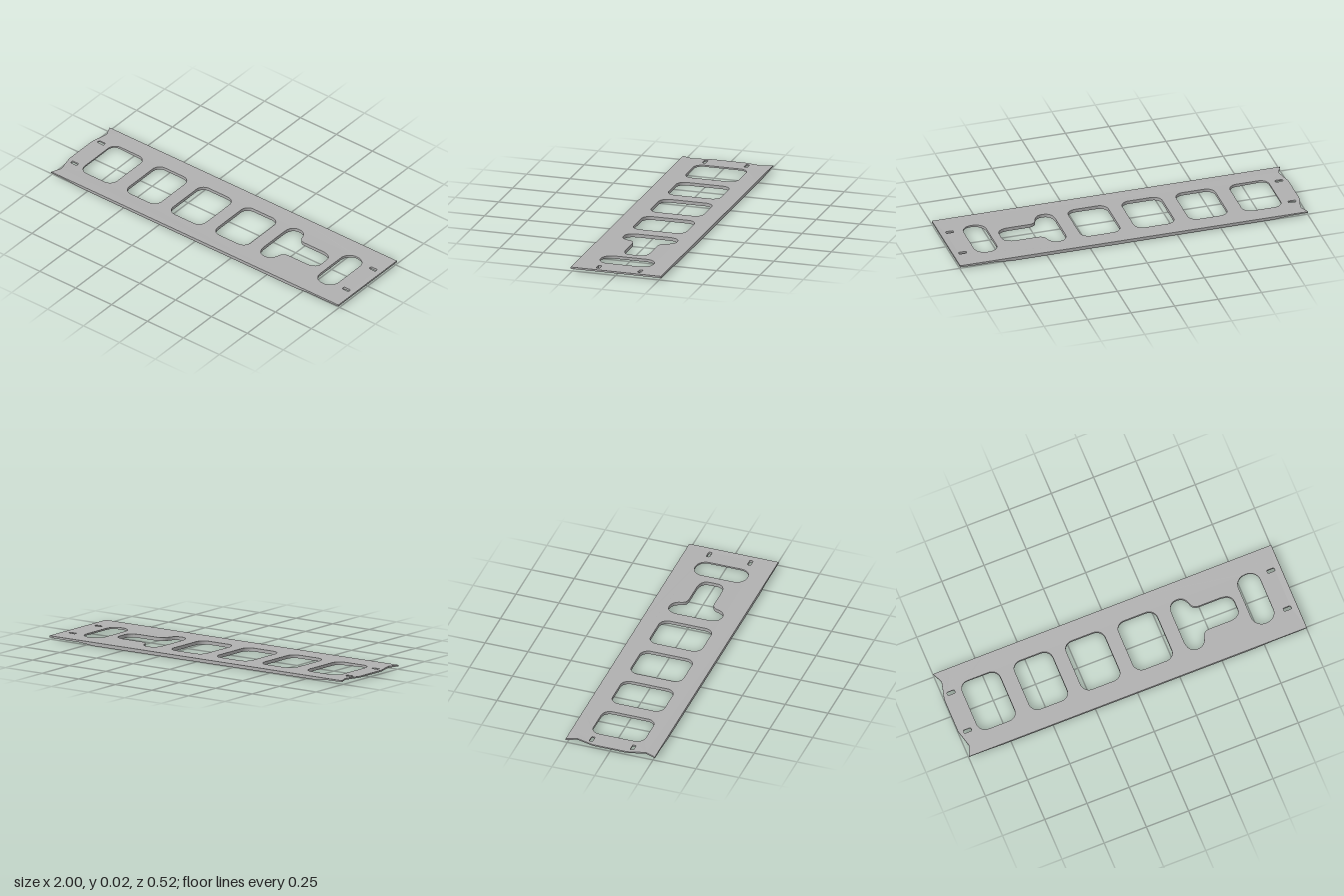
import * as THREE from 'three';

// Closed hole with rounded corners, given as x range, z range and corner radius
function roundedHole(x0, x1, z0, z1, r) {
  const p = new THREE.Path();
  p.moveTo(x0 + r, z0);
  p.lineTo(x1 - r, z0);
  p.absarc(x1 - r, z0 + r, r, -Math.PI / 2, 0, false);
  p.lineTo(x1, z1 - r);
  p.absarc(x1 - r, z1 - r, r, 0, Math.PI / 2, false);
  p.lineTo(x0 + r, z1);
  p.absarc(x0 + r, z1 - r, r, Math.PI / 2, Math.PI, false);
  p.lineTo(x0, z0 + r);
  p.absarc(x0 + r, z0 + r, r, Math.PI, Math.PI * 1.5, false);
  return p;
}

// Narrow opening joined to a tongue-shaped slot
function keyholeOpening() {
  const p = new THREE.Path();
  p.moveTo(0.345, -0.1);
  p.quadraticCurveTo(0.35, -0.16, 0.4, -0.16);
  p.quadraticCurveTo(0.445, -0.16, 0.457, -0.11);
  p.quadraticCurveTo(0.465, -0.08, 0.5, -0.08);
  p.lineTo(0.63, -0.08);
  p.quadraticCurveTo(0.69, -0.075, 0.69, -0.03);
  p.lineTo(0.69, 0.015);
  p.quadraticCurveTo(0.69, 0.06, 0.63, 0.065);
  p.lineTo(0.5, 0.065);
  p.quadraticCurveTo(0.465, 0.068, 0.457, 0.1);
  p.quadraticCurveTo(0.445, 0.15, 0.4, 0.15);
  p.quadraticCurveTo(0.35, 0.15, 0.345, 0.09);
  p.closePath();
  return p;
}

// Underside height along the length: thin ends, deeper middle
const underside = [
  [-1, 0.014], [-0.88, 0.013], [-0.8, 0.005], [-0.1, 0.003], [0, 0.003],
  [0.1, 0.002], [0.2, 0.003], [0.7, 0.002], [0.78, 0.01], [0.86, 0.014],
  [0.94, 0.006], [1, 0.012],
];
function bottomAt(x) {
  for (let i = 1; i < underside.length; i++) {
    const [xa, ya] = underside[i - 1], [xb, yb] = underside[i];
    if (x <= xb) return THREE.MathUtils.lerp(ya, yb, Math.max(0, (x - xa) / (xb - xa)));
  }
  return 0.012;
}

export function createModel() {
  const group = new THREE.Group();
  group.name = 'perforatedPlate';
  const metal = new THREE.MeshStandardMaterial({ color: 0xb0b0b0 });
  metal.name = 'grey metal';

  // Outline: long straight rails, two shallow notches in the left end
  const pts = [];
  const steps = 20;
  for (let i = 0; i <= steps; i++) pts.push(new THREE.Vector2(-1 + (2 * i) / steps, -0.26));
  for (let i = 0; i <= steps; i++) pts.push(new THREE.Vector2(1 - (2 * i) / steps, 0.26));
  [[-0.975, 0.2], [-1, 0.1], [-1, -0.1], [-0.975, -0.2]]
    .forEach(([x, z]) => pts.push(new THREE.Vector2(x, z)));
  const shape = new THREE.Shape(pts);

  // Four large windows, the keyhole and the end window
  [[-0.89, -0.665], [-0.58, -0.355], [-0.275, -0.045], [0.035, 0.265]]
    .forEach(([a, b]) => shape.holes.push(roundedHole(a, b, -0.155, 0.15, 0.05)));
  shape.holes.push(keyholeOpening());
  shape.holes.push(roundedHole(0.74, 0.87, -0.155, 0.15, 0.06));

  // Small fixing slots at both ends
  for (const x of [-0.95, 0.943])
    for (const z of [-0.123, 0.116])
      shape.holes.push(roundedHole(x - 0.022, x + 0.022, z - 0.01, z + 0.01, 0.006));

  // Lay the plate flat, then shape its upper and lower faces
  const geo = new THREE.ExtrudeGeometry(shape, { depth: 1, bevelEnabled: false, curveSegments: 6 });
  geo.rotateX(Math.PI / 2);
  const pos = geo.attributes.position;
  for (let i = 0; i < pos.count; i++) {
    const x = pos.getX(i);
    const rim = Math.abs(pos.getZ(i)) > 0.18;
    const top = rim ? 0.022 : 0.02;
    const y = pos.getY(i) > -0.5 ? top : Math.max(0, bottomAt(x) - (rim ? 0 : 0.002));
    pos.setY(i, y);
  }
  geo.computeVertexNormals();

  const plate = new THREE.Mesh(geo, metal);
  plate.name = 'plate';
  group.add(plate);
  return group;
}
